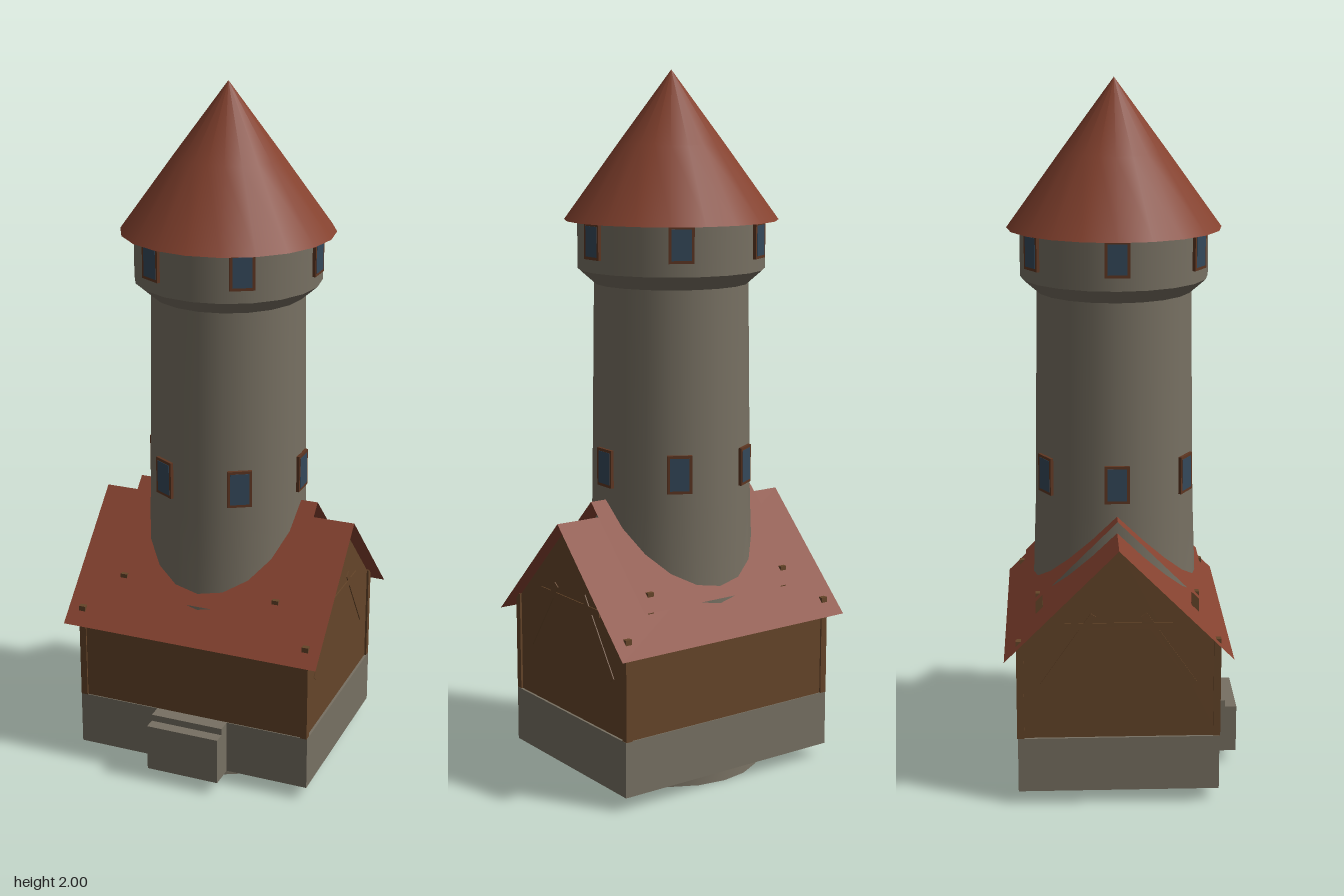
import * as THREE from 'three';

const mat = (name, color, side = THREE.FrontSide) => {
  const m = new THREE.MeshStandardMaterial({ color, side });
  m.name = name;
  return m;
};

export function createModel() {
  const root = new THREE.Group();
  root.name = 'towerHouse';
  const model = new THREE.Group();
  model.position.z = -0.02;
  root.add(model);

  const stone = mat('stone', 0x777062, THREE.DoubleSide);
  const tile = mat('roofTile', 0x85422f, THREE.DoubleSide);
  const wood = mat('wood', 0x654529);
  const frame = mat('windowFrame', 0x5e3622);
  const glass = mat('glass', 0x34485a);

  const add = (name, geo, material, x = 0, y = 0, z = 0, parent = model) => {
    const m = new THREE.Mesh(geo, material);
    m.name = name;
    m.position.set(x, y, z);
    parent.add(m);
    return m;
  };
  const box = (w, h, d) => new THREE.BoxGeometry(w, h, d);
  const rect = (T, w, d) => new T([[-w, -d], [w, -d], [w, d], [-w, d]].map(p => new THREE.Vector2(...p)));
  const lathe = pts => new THREE.LatheGeometry(pts.map(p => new THREE.Vector2(...p)), 20).rotateY(Math.PI);

  // Stone foundation, hollow from below with stepped inner edges
  [[0.04, 0.08, 0.31, 0.235], [0.08, 0.12, 0.3, 0.225], [0.12, 0.2, 0.29, 0.215]].forEach(([y0, y1, w, d]) => {
    const s = rect(THREE.Shape, 0.357, 0.283);
    s.holes.push(rect(THREE.Path, w, d));
    const g = new THREE.ExtrudeGeometry(s, { depth: y1 - y0, bevelEnabled: false }).rotateX(-Math.PI / 2);
    add('foundation', g, stone, 0, y0, 0);
  });

  // Door steps
  add('lowerStep', box(0.22, 0.14, 0.08), stone, 0, 0.11, 0.316);
  add('upperStep', box(0.22, 0.16, 0.05), stone, 0, 0.12, 0.297);

  // Timber walls: gable outline with hollow inside for the tower
  const gable = new THREE.Shape();
  [[-0.28, 0.2], [0.28, 0.2], [0.28, 0.476], [0, 0.756], [-0.28, 0.476]].forEach(([x, y], i) =>
    i ? gable.lineTo(x, y) : gable.moveTo(x, y));
  for (const s of [-1, 1]) {
    const g = new THREE.ExtrudeGeometry(gable, { depth: 0.02, bevelEnabled: false });
    g.translate(0, 0, -0.01).rotateY(Math.PI / 2);
    add('gableWall', g, wood, s * 0.34, 0, 0);
    add('longWall', box(0.67, 0.265, 0.02), wood, 0, 0.3325, s * 0.27);
    add('tieBeam', box(0.004, 0.02, 0.3), wood, s * 0.351, 0.53, 0);
    for (const t of [-1, 1]) {
      // Corner posts and rafter feet show slightly through the roof
      add('cornerPost', box(0.02, 0.29, 0.02), wood, s * 0.346, 0.345, t * 0.275);
      add('dormerPost', box(0.02, 0.15, 0.02), wood, s * 0.235, 0.515, t * 0.22);
      const brace = add('gableBrace', box(0.004, 0.25, 0.02), wood, s * 0.351, 0.46, t * 0.14);
      brace.rotation.x = -t * 0.6;
    }
  }

  // Two layers of thin pitched roof sheets
  const roof = (name, width, half, ridge) => {
    for (const a of [0, Math.PI]) {
      const g = new THREE.PlaneGeometry(width, half * Math.SQRT2).rotateX(-Math.PI / 4);
      g.translate(0, ridge - half / 2, half / 2).rotateY(a);
      add(name, g, tile);
    }
  };
  roof('mainRoof', 0.78, 0.318, 0.76);
  roof('upperRoof', 0.556, 0.263, 0.808);

  // Round tower, open underneath
  add('towerShaft', lathe([[0.26, 0], [0.257, 0.04], [0.236, 0.575], [0.228, 0.8], [0.219, 1.41]]), stone);
  add('towerCorbel', lathe([[0.219, 1.41], [0.265, 1.45]]), stone);
  add('towerHead', lathe([[0.265, 1.45], [0.265, 1.59]]), stone);
  add('towerRoof', lathe([[0.302, 1.587], [0.15, 1.797], [0, 2]]), tile);
  add('towerRoofUnderside', lathe([[0.2, 1.588], [0.302, 1.587]]), tile);

  // Six windows around the tower on each level
  const windows = (name, radius, y, h) => {
    for (let i = 0; i < 6; i++) {
      const w = new THREE.Group();
      w.name = name;
      w.rotation.y = Math.PI / 6 + i * Math.PI / 3;
      model.add(w);
      add('windowFrame', box(0.07, h, 0.009), frame, 0, y, radius + 0.001, w);
      add('windowPane', box(0.054, h - 0.016, 0.004), glass, 0, y, radius + 0.0045, w);
    }
  };
  windows('lowerWindow', 0.2275, 0.9, 0.108);
  windows('upperWindow', 0.265, 1.537, 0.1);

  return root;
}
